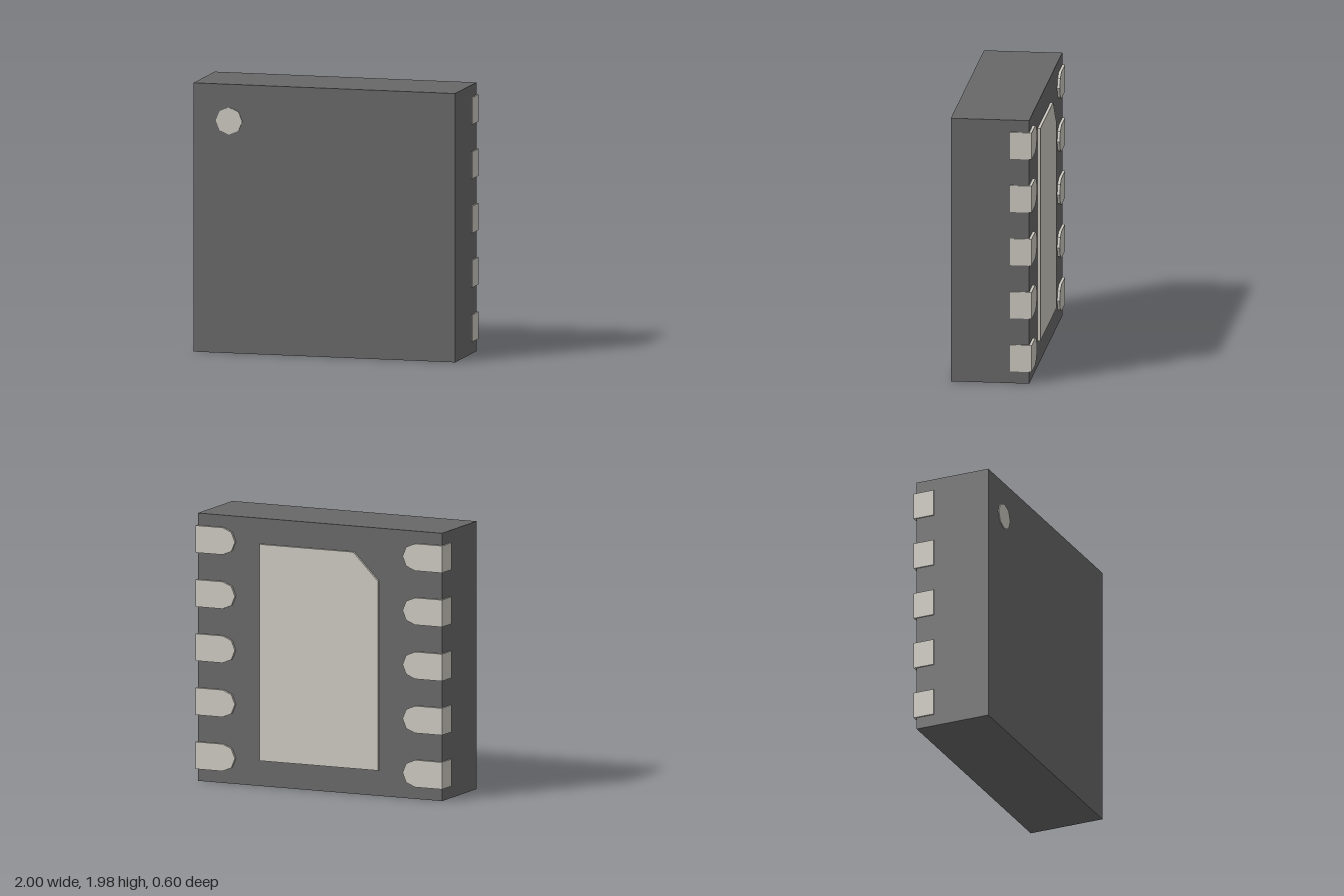
import * as THREE from 'three';

const bodyMaterial = new THREE.MeshStandardMaterial({ color: 0x686868, flatShading: true });
const metalMaterial = new THREE.MeshStandardMaterial({ color: 0xccc9c0, flatShading: true });

const BACK = -0.28;    // rear face of the body
const PLATE = 0.02;    // height of the metal above the body

function add(parent, name, geometry, material, x = 0, y = 0, z = 0) {
  const mesh = new THREE.Mesh(geometry, material);
  mesh.name = name;
  mesh.position.set(x, y, z);
  parent.add(mesh);
  return mesh;
}

// Thin plate standing out from the rear face
function plate(points) {
  const shape = new THREE.Shape(points.map(([x, y]) => new THREE.Vector2(x, y)));
  return new THREE.ExtrudeGeometry(shape, { depth: PLATE, bevelEnabled: false });
}

export function createModel() {
  const group = new THREE.Group();
  group.name = 'chipPackage';

  // Moulded body
  add(group, 'body', new THREE.BoxGeometry(1.98, 1.98, 0.575), bodyMaterial, 0, 0.99, 0.0075);

  // Octagonal orientation mark on the front
  const mark = new THREE.CylinderGeometry(0.1, 0.1, 0.01, 8).rotateX(Math.PI / 2);
  add(group, 'orientationMark', mark, metalMaterial, -0.72, 1.71, 0.296);

  // Large rear pad with one cut corner
  const padOutline = [[-0.48, -0.8], [0.48, -0.8], [0.48, 0.8], [-0.28, 0.8], [-0.48, 0.6]];
  add(group, 'thermalPad', plate(padOutline), metalMaterial, 0, 0.99, BACK - PLATE);

  // Five L-shaped contacts on each side, with faceted round inner ends
  for (const side of [-1, 1]) {
    const outline = [[side, -0.1]];
    for (let i = 0; i <= 4; i++) {
      const a = -Math.PI / 2 + (i * Math.PI) / 4;
      outline.push([side * (0.78 - 0.1 * Math.cos(a)), 0.1 * Math.sin(a)]);
    }
    outline.push([side, 0.1]);
    const foot = plate(outline);
    const wall = new THREE.BoxGeometry(0.02, 0.2, 0.14);

    for (let i = 0; i < 5; i++) {
      const contact = new THREE.Group();
      contact.name = side > 0 ? 'leftContact' : 'rightContact';
      contact.position.y = 0.19 + i * 0.4;
      add(contact, 'contactFoot', foot, metalMaterial, 0, 0, BACK - PLATE);
      add(contact, 'contactWall', wall, metalMaterial, side * 0.99, 0, BACK + 0.07);
      group.add(contact);
    }
  }
  return group;
}
